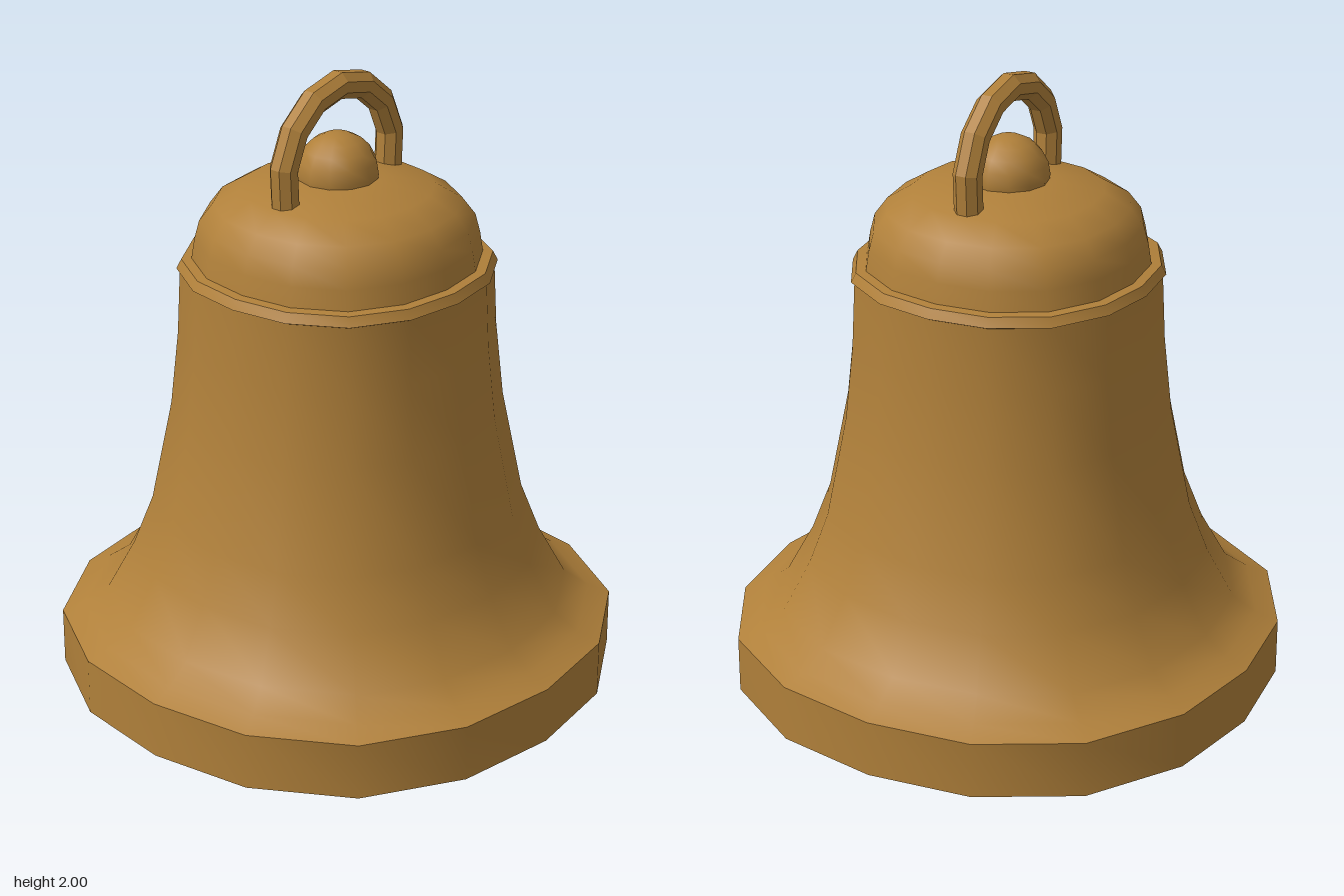
import * as THREE from 'three';
import { toCreasedNormals } from 'three/addons/utils/BufferGeometryUtils.js';

const bronze = new THREE.MeshStandardMaterial({ color: 0xb0803a });
const facetedBronze = new THREE.MeshStandardMaterial({ color: 0xb0803a, flatShading: true });

function addMesh(parent, name, geometry, material = bronze) {
  const mesh = new THREE.Mesh(geometry, material);
  mesh.name = name;
  parent.add(mesh);
  return mesh;
}

// 16-sided turned shape, slightly squared: the diagonals bulge by 4%
function turned(profile) {
  const geometry = new THREE.LatheGeometry(profile.map(([r, y]) => new THREE.Vector2(r, y)), 16);
  const pos = geometry.attributes.position;
  for (let i = 0; i < pos.count; i++) {
    const x = pos.getX(i), z = pos.getZ(i);
    const bulge = 1 + 0.02 * (1 - Math.cos(4 * Math.atan2(z, x)));
    pos.setXYZ(i, x * bulge, pos.getY(i), z * bulge);
  }
  return toCreasedNormals(geometry, 0.65);
}

export function createModel() {
  const bell = new THREE.Group();
  bell.name = 'bell';

  // Closed underside, lip, flared wall and collar
  addMesh(bell, 'body', turned([
    [0, 0.09], [0.77, 0.09], [0.8, 0], [0.86, 0], [0.86, 0.185],
    [0.79, 0.215], [0.715, 0.27], [0.63, 0.43], [0.57, 0.59], [0.505, 0.92],
    [0.48, 1.16], [0.47, 1.37], [0.48, 1.375], [0.465, 1.405], [0.43, 1.408],
  ]));

  addMesh(bell, 'crown', turned([
    [0.435, 1.405], [0.425, 1.47], [0.41, 1.53], [0.37, 1.585],
    [0.29, 1.635], [0.14, 1.665], [0, 1.672],
  ]));

  const knob = addMesh(bell, 'knob', new THREE.SphereGeometry(0.128, 12, 10));
  knob.position.y = 1.68;

  // Hanging loop: an octagonal bar swept along an arc
  const ringRadius = 0.249, barRadius = 0.045, halfArc = THREE.MathUtils.degToRad(106);
  const bar = [];
  for (let i = 0; i <= 8; i++) {
    const a = (i + 0.5) * Math.PI / 4;
    bar.push(new THREE.Vector2(ringRadius + barRadius * Math.cos(a), barRadius * Math.sin(a)));
  }
  const loop = new THREE.Group();
  loop.name = 'hangingLoop';
  loop.position.y = 1.71;
  bell.add(loop);
  const arc = new THREE.LatheGeometry(bar, 8, Math.PI - halfArc, 2 * halfArc);
  addMesh(loop, 'loopBar', arc.rotateX(Math.PI / 2), facetedBronze);

  // Flat ends of the loop
  for (const side of [-1, 1]) {
    const end = new THREE.CircleGeometry(barRadius, 8, Math.PI / 8);
    end.rotateX(Math.PI / 2).translate(ringRadius, 0, 0);
    if (side < 0) end.rotateY(Math.PI);
    end.rotateZ(-side * (halfArc - Math.PI / 2));
    addMesh(loop, 'loopEnd', end, facetedBronze);
  }
  return bell;
}
